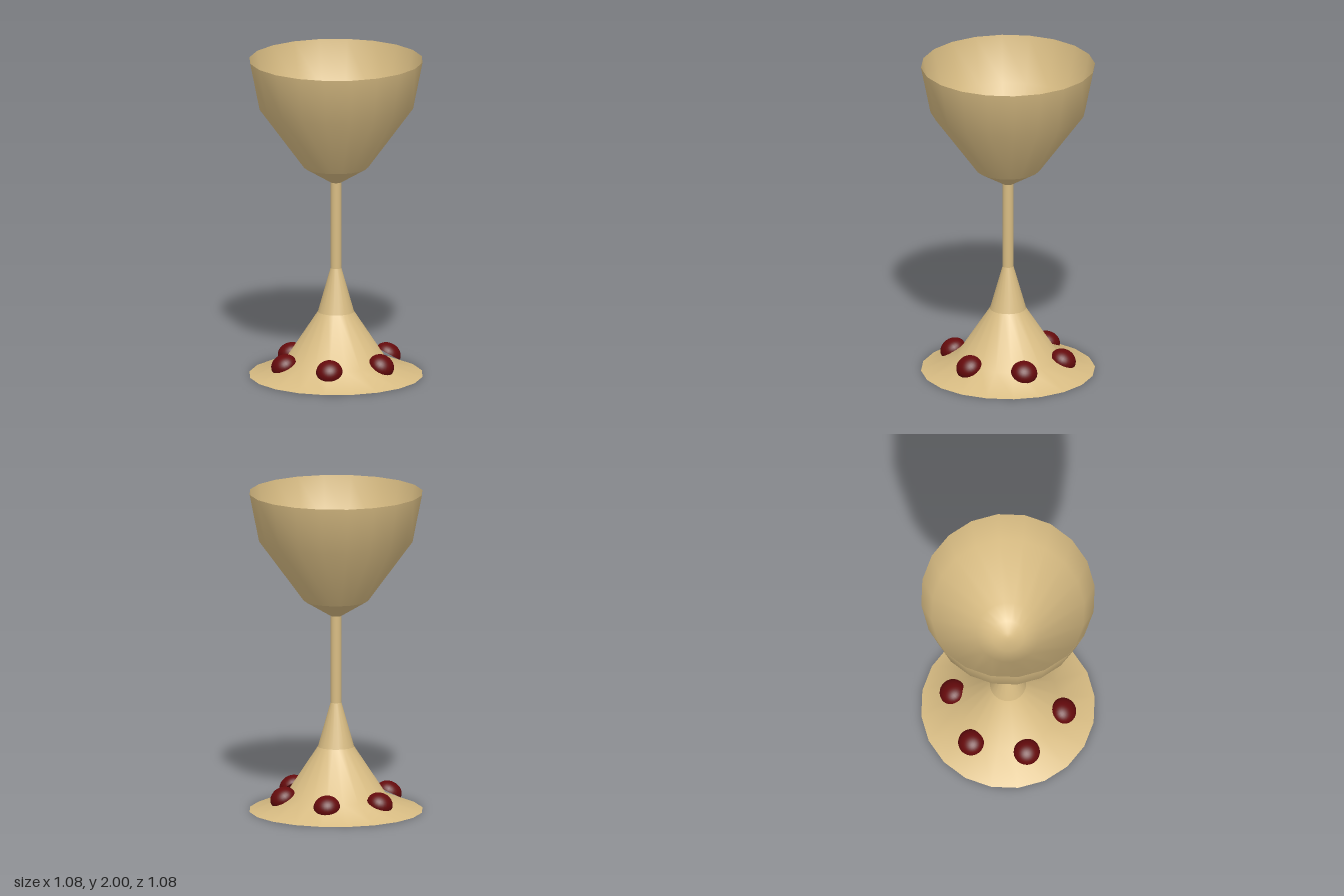
import * as THREE from 'three';

const SIDES = 20;

export function createModel() {
  const gold = new THREE.MeshStandardMaterial({ color: 0xd8bc83 });
  gold.name = 'pale gold';
  const red = new THREE.MeshStandardMaterial({ color: 0x640a0c });
  red.name = 'dark red';

  const goblet = new THREE.Group();
  goblet.name = 'goblet';

  // Turned part from [radius, height] pairs: upwards faces outward, downwards faces inward
  const turned = (name, profile) => {
    const points = profile.map(([r, y]) => new THREE.Vector2(r, y));
    const mesh = new THREE.Mesh(new THREE.LatheGeometry(points, SIDES), gold);
    mesh.name = name;
    goblet.add(mesh);
  };

  // Flared foot and neck, with a flat rim and a shallow hollow underneath
  turned('footUnderside', [[0, 0.15], [0.03, 0.149], [0.13, 0.13], [0.23, 0.08], [0.308, 0], [0.539, 0]]);
  turned('foot', [[0.539, 0], [0.315, 0.09], [0.112, 0.4]]);
  turned('footNeck', [[0.112, 0.4], [0.034, 0.677]]);

  // Slender stem
  turned('stem', [[0.034, 0.677], [0.034, 1.223]]);

  // Cup: shallow underside, flaring wall and rounded inside
  turned('cupUnderside', [[0.034, 1.223], [0.2, 1.322]]);
  turned('cupWall', [[0.2, 1.322], [0.48, 1.705], [0.539, 2]]);
  turned('cupInside', [[0.539, 2], [0.474, 1.707], [0.196, 1.332], [0.1, 1.268], [0.03, 1.243], [0, 1.242]]);

  // Six domed jewels, leaning outwards around the foot
  const dome = new THREE.SphereGeometry(0.082, 24, 10, 0, Math.PI * 2, 0, Math.PI / 2).scale(1, 0.82, 1);
  const back = new THREE.CircleGeometry(0.082, 24).rotateX(Math.PI / 2);
  for (let i = 0; i < 6; i++) {
    const angle = (i / 6) * Math.PI * 2 - 0.115;
    const side = Math.cos(angle);
    const jewel = new THREE.Group();
    jewel.name = 'jewel';
    jewel.add(new THREE.Mesh(dome, red), new THREE.Mesh(back, red));
    jewel.children[0].name = 'jewelDome';
    jewel.children[1].name = 'jewelBack';
    // The ring of jewels sits slightly higher and steeper on its left
    jewel.position.set(0.349 * side, 0.092 + 0.011 * side, 0.349 * Math.sin(angle));
    jewel.rotation.set(0, -angle, -0.5 - 0.09 * side, 'YXZ');
    goblet.add(jewel);
  }
  return goblet;
}
